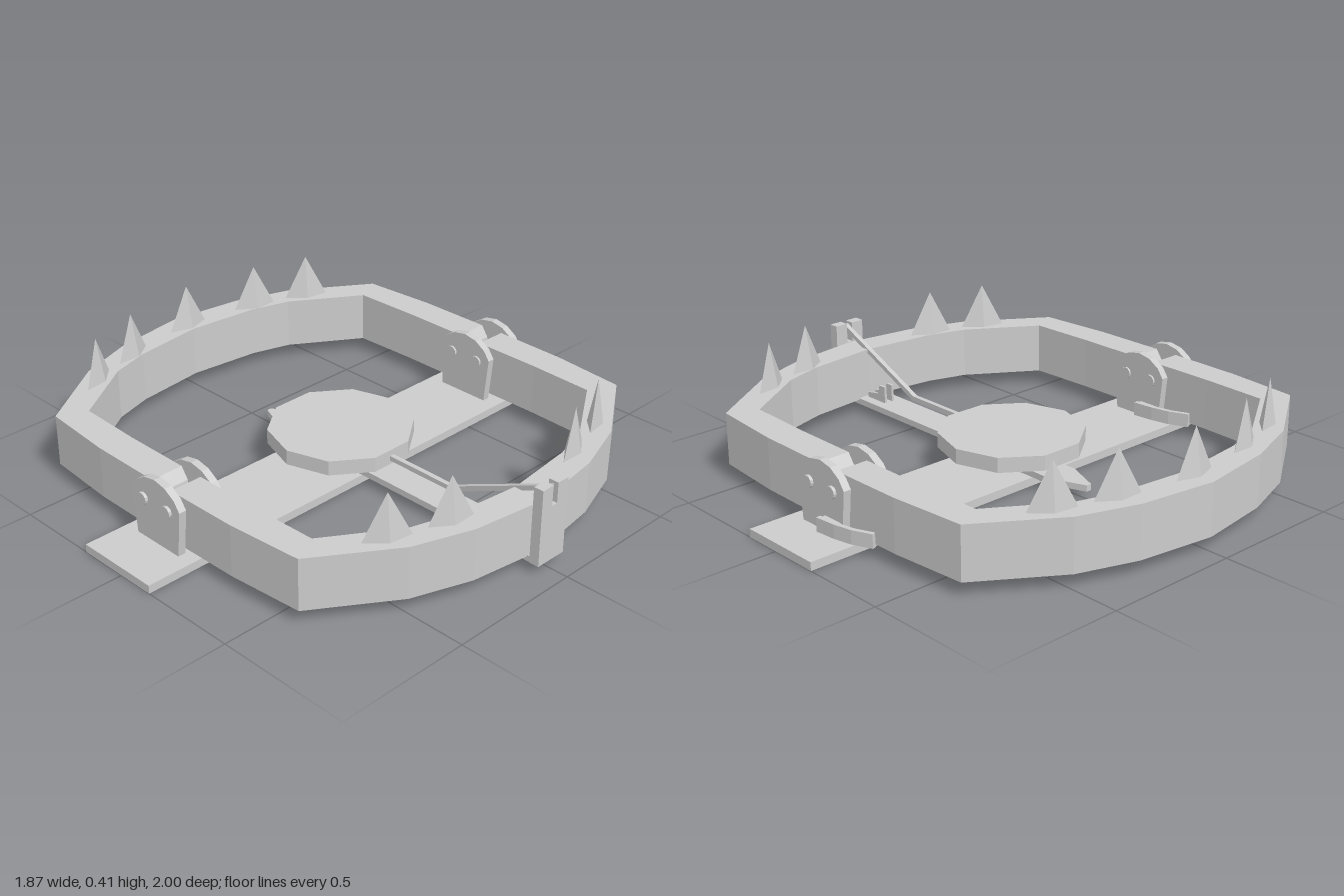
import * as THREE from 'three';

const CX = -0.0225; // centre line of the jaws
const mat = new THREE.MeshStandardMaterial({ color: 0xcccccc, flatShading: true });

function add(parent, name, geometry) {
  const mesh = new THREE.Mesh(geometry, mat);
  mesh.name = name;
  parent.add(mesh);
  return mesh;
}

function box(parent, name, x0, x1, y0, y1, z0, z1) {
  const g = new THREE.BoxGeometry(x1 - x0, y1 - y0, z1 - z0);
  g.translate((x0 + x1) / 2, (y0 + y1) / 2, (z0 + z1) / 2);
  return add(parent, name, g);
}

const toShape = (pts) => new THREE.Shape(pts.map(([a, b]) => new THREE.Vector2(a, b)));

// Outline in x/z, raised from y0 to y1
function planGeo(pts, y0, y1) {
  const g = new THREE.ExtrudeGeometry(toShape(pts), { depth: y1 - y0, bevelEnabled: false });
  return g.rotateX(Math.PI / 2).translate(0, y1, 0);
}

// Outline in x/y, running from z0 to z1
function sideGeo(pts, z0, z1) {
  const g = new THREE.ExtrudeGeometry(toShape(pts), { depth: z1 - z0, bevelEnabled: false });
  return g.translate(0, 0, z0);
}

function makeJaw(name, side) {
  const jaw = new THREE.Group();
  jaw.name = name;
  const mx = (x) => (side < 0 ? x : 2 * CX - x);
  const outer = [[-0.07, 0.803], [-0.35, 0.8], [-0.63, 0.777], [-0.82, 0.495], [-0.895, 0.28], [-0.935, 0]];
  const inner = [[-0.07, 0.68], [-0.33, 0.68], [-0.58, 0.672], [-0.745, 0.42], [-0.79, 0.27], [-0.82, 0]];
  const around = (half) => [...half, ...half.slice(0, -1).reverse().map(([x, z]) => [x, -z])];
  const pts = [...around(outer), ...around(inner).reverse()].map(([x, z]) => [mx(x), z]);
  add(jaw, 'jawBand', planGeo(pts, 0.05, 0.24));

  // rounded ends held between the hinge plates
  const end = [[-0.07, 0.05], [-0.045, 0.08], [-0.033, 0.14], [-0.042, 0.2], [-0.07, 0.24]];
  for (const z of [-0.803, 0.68])
    add(jaw, 'jawEnd', sideGeo(end.map(([x, y]) => [mx(x), y]), z, z + 0.123));

  // diamond-based teeth, turned along the band
  const teeth = [[-0.74, 0.51, 0.46], [-0.81, 0.3, 0.3], [-0.81, -0.3, -0.3], [-0.74, -0.51, -0.46]];
  if (side < 0) teeth.push([-0.855, 0, 0]);
  for (const [x, z, turn] of teeth) {
    const g = new THREE.ConeGeometry(1, 0.165, 4);
    g.scale(0.028, 1, 0.083).rotateY(side < 0 ? turn : -turn);
    add(jaw, 'tooth', g.translate(mx(x), 0.3225, z));
  }
  return jaw;
}

function makeHinge(name, side) {
  const hinge = new THREE.Group();
  hinge.name = name;
  const half = [[0.103, 0.03], [0.12, 0.2], [0.095, 0.235], [0.052, 0.262]];
  const plate = [
    ...half.map(([x, y]) => [CX + x, y]), [CX, 0.272],
    ...half.slice().reverse().map(([x, y]) => [CX - x, y]),
  ];
  for (const z of [0.65, 0.803]) {
    const z0 = side > 0 ? z : -z - 0.028;
    add(hinge, 'hingePlate', sideGeo(plate, z0, z0 + 0.028));
  }
  for (const dx of [-0.06, 0.06]) {
    const g = new THREE.CylinderGeometry(0.022, 0.022, 0.2, 12).rotateX(Math.PI / 2);
    add(hinge, 'hingePin', g.translate(CX + dx, 0.18, side * 0.742));
  }
  // curved leaf on the rear face of the hinge
  const dz = side > 0 ? 1.48 : 0;
  const leaf = [
    [-0.26, -0.815], [-0.19, -0.845], [-0.12, -0.86], [-0.04, -0.868],
    [-0.04, -0.85], [-0.12, -0.843], [-0.19, -0.828], [-0.255, -0.8],
  ];
  add(hinge, 'leaf', planGeo(leaf.map(([x, z]) => [x, z + dz]), 0.04, 0.09));
  box(hinge, 'leafMount', -0.12, -0.04, 0.04, 0.085, -0.855 + dz, -0.828 + dz);
  return hinge;
}

export function createModel() {
  const trap = new THREE.Group();
  trap.name = 'jawTrap';

  box(trap, 'basePlate', -0.185, 0.14, 0, 0.03, -1, 1);
  trap.add(makeJaw('rightJaw', -1), makeJaw('leftJaw', 1));
  trap.add(makeHinge('frontHinge', 1), makeHinge('backHinge', -1));

  // trigger arm with pointed tail
  const arm = [
    [0.9, -0.06], [0.9, 0.06], [-0.2, 0.06], [-0.27, 0.062],
    [-0.4, 0.01], [-0.4, -0.01], [-0.27, -0.062], [-0.2, -0.06],
  ];
  add(trap, 'triggerArm', planGeo(arm, 0.033, 0.056));

  // ten-sided pressure pan on its support
  const pan = new THREE.CylinderGeometry(0.262, 0.262, 0.055, 10);
  add(trap, 'pan', pan.translate(CX, 0.118, 0));
  box(trap, 'panSupport', CX - 0.08, CX + 0.08, 0.05, 0.095, -0.05, 0.05);

  // upright with a notch that catches the trigger rod
  const post = [
    [-0.062, 0.033], [0.062, 0.033], [0.062, 0.315], [0.012, 0.315],
    [0.012, 0.24], [-0.012, 0.24], [-0.012, 0.315], [-0.062, 0.315],
  ];
  add(trap, 'catchPost', sideGeo(post, 0, 0.037).rotateY(Math.PI / 2).translate(0.893, 0, 0));

  // bent trigger rod
  const rod = [
    [0.2, 0.105], [0.51, 0.105], [0.915, 0.29], [0.915, 0.308], [0.505, 0.123], [0.2, 0.123],
  ];
  add(trap, 'triggerRod', sideGeo(rod, -0.009, 0.009));

  // small ears on the arm either side of the rod
  const ear = [[0.66, 0.05], [0.76, 0.05], [0.76, 0.075], [0.7, 0.085], [0.69, 0.12], [0.66, 0.12]];
  for (const z of [-0.022, 0.012]) add(trap, 'armEar', sideGeo(ear, z, z + 0.01));

  return trap;
}
